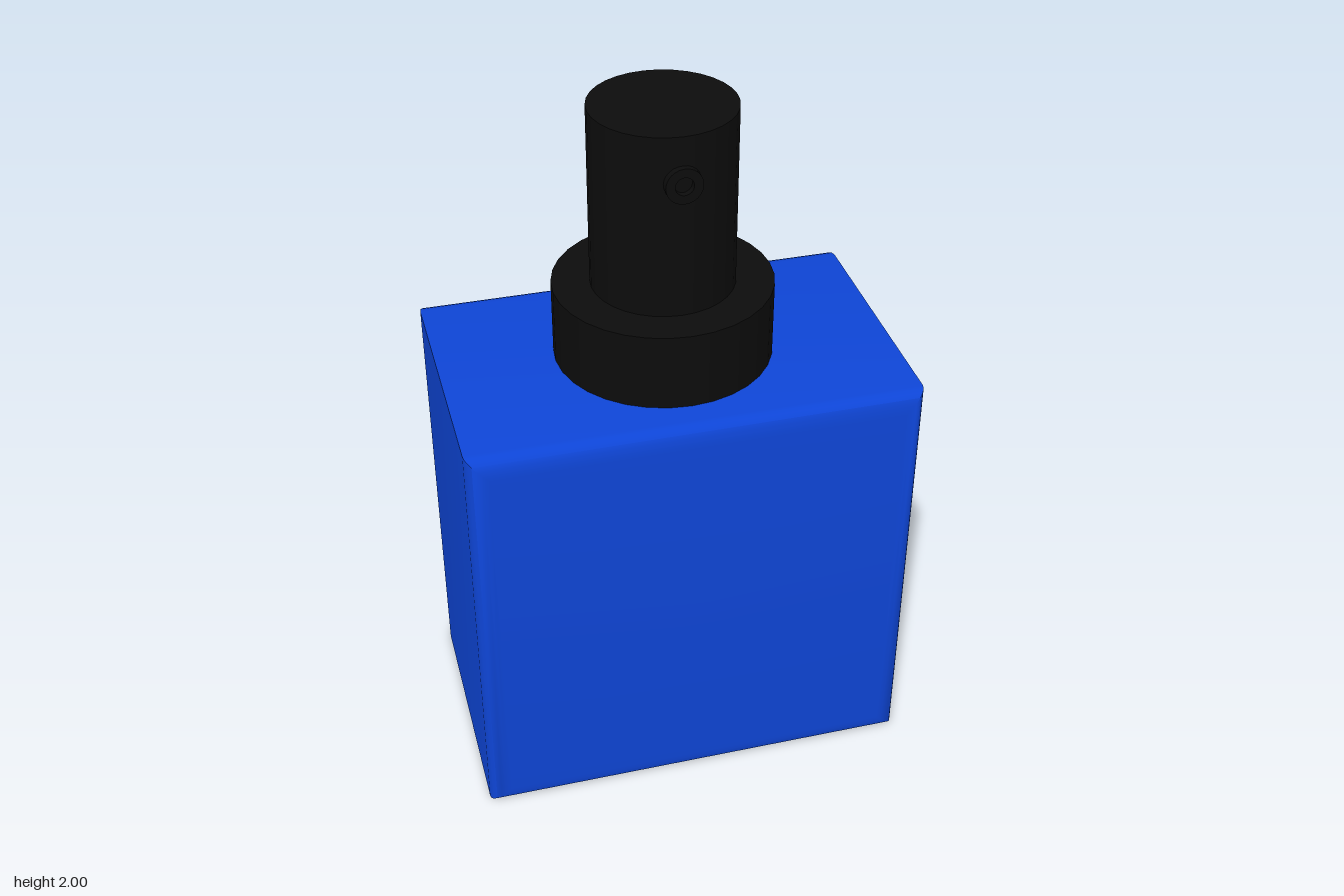
import * as THREE from 'three';
import { toCreasedNormals } from 'three/addons/utils/BufferGeometryUtils.js';

const blue = new THREE.MeshStandardMaterial({ color: 0x0e45d6 });
const black = new THREE.MeshStandardMaterial({ color: 0x0c0c0c });

function part(name, geometry, material, y = 0, z = 0) {
  const mesh = new THREE.Mesh(geometry, material);
  mesh.name = name;
  mesh.position.set(0, y, z);
  return mesh;
}

// Square block whose front and back rims are rounded: a four-sided lathe along z
function bodyGeometry() {
  const half = 0.63, depth = 0.417, steps = 6;
  const profile = [new THREE.Vector2(0, -depth)];
  const rim = (sign, inset, drop) => {
    for (let i = 0; i <= steps; i++) {
      const a = ((sign < 0 ? i : steps - i) / steps) * Math.PI / 2;
      const r = half - inset + inset * Math.sin(a);
      const h = sign * (depth - drop + drop * Math.cos(a));
      profile.push(new THREE.Vector2(r * Math.SQRT2, h));
    }
  };
  rim(-1, 0.085, 0.07);
  rim(1, 0.06, 0.045);
  profile.push(new THREE.Vector2(0, depth));
  const geometry = new THREE.LatheGeometry(profile, 4, Math.PI / 4);
  geometry.rotateX(Math.PI / 2);
  return toCreasedNormals(geometry, 0.8);
}

// Short round spout with a recessed hole, pointing to the front
function nozzleGeometry() {
  const points = [[0.05, 0], [0.05, 0.045], [0.025, 0.045], [0.025, 0.025], [0, 0.025]]
    .map(([r, h]) => new THREE.Vector2(r, h));
  const geometry = new THREE.LatheGeometry(points, 24);
  geometry.rotateX(Math.PI / 2);
  return toCreasedNormals(geometry, 0.6);
}

export function createModel() {
  const model = new THREE.Group();
  model.name = 'sprayBottle';

  model.add(part('body', bodyGeometry(), blue, 0.63));

  // Pump
  const pump = new THREE.Group();
  pump.name = 'pump';
  pump.add(
    part('collar', new THREE.CylinderGeometry(0.306, 0.306, 0.22, 32), black, 1.37),
    part('sprayHead', new THREE.CylinderGeometry(0.2, 0.2, 0.52, 32), black, 1.74),
    part('nozzle', nozzleGeometry(), black, 1.87, 0.172)
  );
  model.add(pump);
  return model;
}
